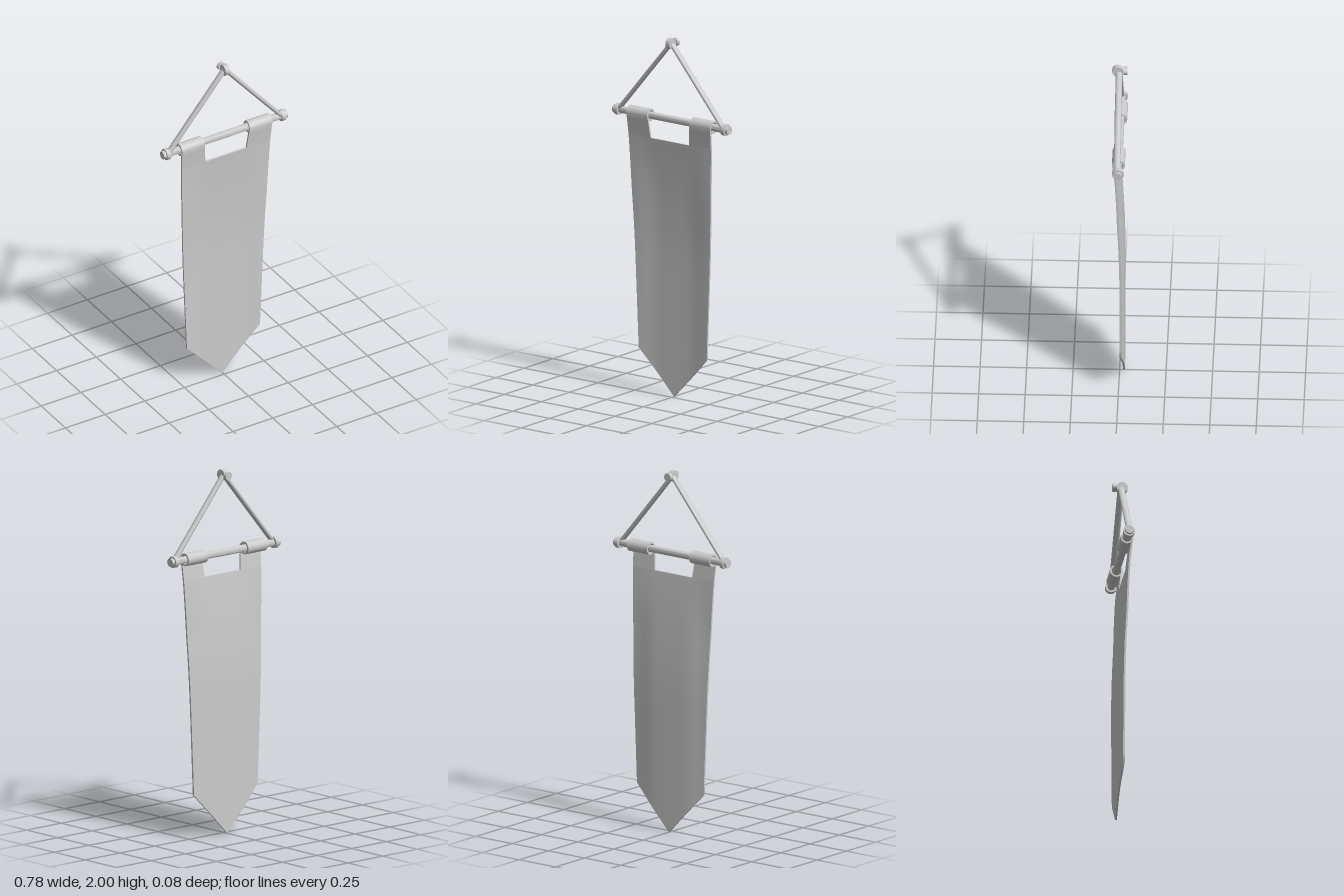
import * as THREE from 'three';
import { toCreasedNormals } from 'three/addons/utils/BufferGeometryUtils.js';

const ROD_Y = 1.545, ROD_Z = -0.002, HALF = 0.005, LOOP_R = 0.03;
const lerp = THREE.MathUtils.lerp;
const material = new THREE.MeshStandardMaterial({ color: 0xcccccc, side: THREE.DoubleSide });

function add(parent, name, geometry) {
  const mesh = new THREE.Mesh(geometry, material);
  mesh.name = name;
  parent.add(mesh);
  return mesh;
}

// Cylinder whose axis runs along x or z
function barrel(radius, length, sides, axis) {
  const g = new THREE.CylinderGeometry(radius, radius, length, sides);
  if (axis === 'x') g.rotateZ(Math.PI / 2);
  if (axis === 'z') g.rotateX(Math.PI / 2);
  return toCreasedNormals(g, 0.9);
}

// Thin closed sheet: point(u, v, s) gives the face (s = 1) and the lining (s = -1)
function sheet(cols, rows, point) {
  const pos = [], index = [], n = (cols + 1) * (rows + 1);
  for (const s of [1, -1])
    for (let j = 0; j <= rows; j++)
      for (let i = 0; i <= cols; i++) pos.push(...point(i / cols, j / rows, s));
  const id = (i, j) => j * (cols + 1) + i;
  for (let j = 0; j < rows; j++)
    for (let i = 0; i < cols; i++) {
      const a = id(i, j), b = id(i, j + 1), c = id(i + 1, j + 1), d = id(i + 1, j);
      index.push(a, b, d, d, b, c, a + n, d + n, b + n, d + n, c + n, b + n);
    }
  // Hem running around the border
  const rim = [];
  for (let j = 0; j < rows; j++) rim.push(id(0, j));
  for (let i = 0; i < cols; i++) rim.push(id(i, rows));
  for (let j = rows; j > 0; j--) rim.push(id(cols, j));
  for (let i = cols; i > 0; i--) rim.push(id(i, 0));
  rim.forEach((p, k) => {
    const q = rim[(k + 1) % rim.length];
    index.push(p, p + n, q, q, p + n, q + n);
  });
  const g = new THREE.BufferGeometry();
  g.setAttribute('position', new THREE.Float32BufferAttribute(pos, 3));
  g.setIndex(index);
  return toCreasedNormals(g, 0.8);
}

// Cloth drape: leans back below the rod, then hangs straight
const drape = (y) => -0.024 + 0.052 * Math.max(0, (y - 0.7) / 0.85) ** 2;
const halfWidth = (y) => y < 0.24 ? 0.23 * y / 0.24 : lerp(0.23, 0.285, (y - 0.24) / 1.34);
const CLOTH_TOP = 1.425;

// Side strips of the cloth curl slightly forward
function curl(x, y) {
  const t = THREE.MathUtils.smoothstep(Math.abs(x), 0.1, 0.26);
  return 0.013 * t * THREE.MathUtils.clamp((CLOTH_TOP - y) / 0.3, 0, 1);
}

function clothBody() {
  const rows = 24, bend = 18;
  return sheet(16, rows, (u, v, s) => {
    const j = v * rows;
    const y = j <= bend ? lerp(CLOTH_TOP, 0.24, j / bend) : lerp(0.24, 0, (j - bend) / (rows - bend));
    const x = (u * 2 - 1) * halfWidth(y);
    return [x, y, drape(y) + curl(x, y) + s * HALF];
  });
}

// Tab: wraps round the rod, then drops down its front to the cloth
function clothTab(side) {
  const rows = 22, arc = 18;
  return sheet(4, rows, (u, v, s) => {
    const j = v * rows;
    let y, z, level;
    if (j <= arc) {
      const a = lerp(5.6, 0, j / arc), r = LOOP_R + s * HALF;
      y = ROD_Y + r * Math.sin(a);
      z = ROD_Z + r * Math.cos(a);
      level = lerp(1.58, ROD_Y, Math.max(0, (j - arc + 5) / 5));
    } else {
      y = level = lerp(ROD_Y, CLOTH_TOP, (j - arc) / (rows - arc));
      z = drape(y) + s * HALF;
    }
    const inner = lerp(0.13, 0.145, (level - CLOTH_TOP) / 0.155);
    const x = lerp(inner, halfWidth(level), side > 0 ? u : 1 - u);
    return [side * x, y, z];
  });
}

export function createModel() {
  const model = new THREE.Group();
  model.name = 'hangingBanner';

  // Cross rod
  add(model, 'rod', barrel(0.02, 0.77, 12, 'x')).position.set(0, ROD_Y, ROD_Z);

  // Parts mirrored on both sides
  for (const side of [1, -1]) {
    const label = side > 0 ? 'left' : 'right';
    add(model, label + 'RodEnd', barrel(0.023, 0.04, 12, 'x')).position.set(side * 0.37, ROD_Y, ROD_Z);
    add(model, label + 'RodCollar', barrel(0.032, 0.024, 12, 'x')).position.set(side * 0.362, ROD_Y, ROD_Z);
    add(model, label + 'Tab', clothTab(side));

    // Cord from the collar up to the hook
    const low = new THREE.Vector3(side * 0.355, 1.55, 0.003);
    const high = new THREE.Vector3(0, 1.97, 0.003);
    const dir = high.clone().sub(low);
    const cord = new THREE.CylinderGeometry(1, 1, dir.length(), 8).scale(0.012, 1, 0.018);
    const mesh = add(model, label + 'Cord', cord);
    mesh.position.copy(low).add(high).multiplyScalar(0.5);
    mesh.quaternion.setFromUnitVectors(new THREE.Vector3(0, 1, 0), dir.normalize());
  }

  // Hanging ring with a wall peg behind it
  add(model, 'hangingRing', barrel(0.031, 0.027, 12, 'x')).position.set(0, 1.969, 0.009);
  add(model, 'pegShaft', barrel(0.012, 0.05, 10, 'z')).position.set(0, 1.969, -0.012);
  add(model, 'pegHead', barrel(0.023, 0.02, 12, 'z')).position.set(0, 1.969, -0.032);

  // Long pointed cloth
  add(model, 'cloth', clothBody());
  return model;
}
